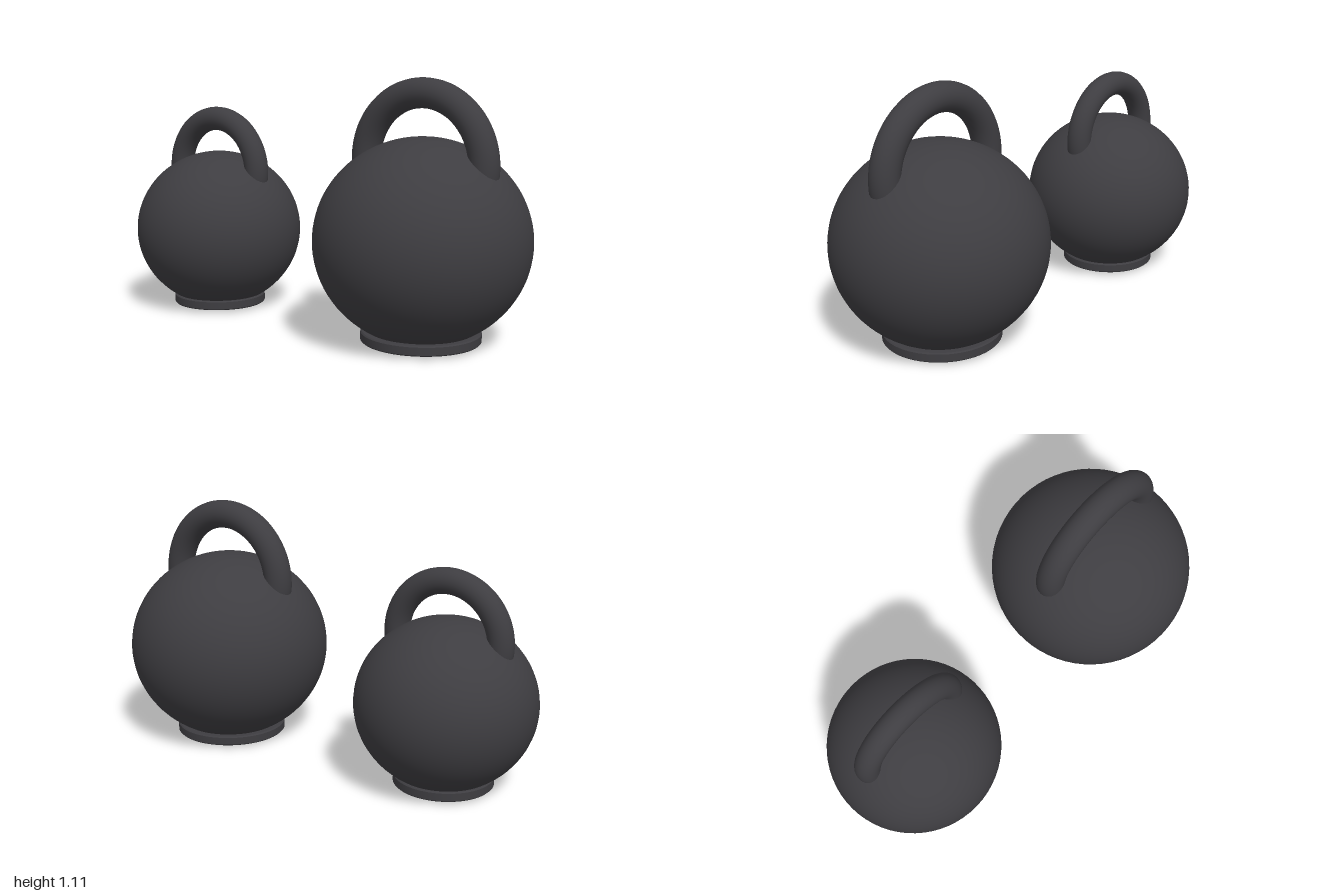
import * as THREE from 'three';
import { toCreasedNormals } from 'three/addons/utils/BufferGeometryUtils.js';

const castIron = new THREE.MeshStandardMaterial({ color: 0x3e3d41 });
castIron.name = 'castIron';

function addPart(group, name, geometry) {
  const mesh = new THREE.Mesh(geometry, castIron);
  mesh.name = name;
  group.add(mesh);
  return mesh;
}

// One weight: slightly squashed ball, ring handle and a flat foot
function createWeight({ name, x, ballRadius, handleRadius, gripRadius, handleY, footRadius }) {
  const weight = new THREE.Group();
  weight.name = name;
  weight.position.x = x;

  const squash = 0.95;
  const ball = new THREE.SphereGeometry(ballRadius, 64, 48);
  ball.scale(1, squash, 1);
  addPart(weight, 'ball', ball).position.y = ballRadius * squash;

  // Arc runs past a half circle so both ends sink into the ball
  const dip = 0.5;
  const ring = new THREE.TorusGeometry(handleRadius, gripRadius, 24, 72, Math.PI + 2 * dip);
  ring.rotateZ(-dip);
  addPart(weight, 'handle', ring).position.y = handleY;

  // Disc with softened rims; the ball just pokes through its underside
  const low = 0.012, high = 0.055, bevel = 0.005;
  const profile = [
    [0, low], [footRadius - bevel, low], [footRadius, low + bevel],
    [footRadius, high - bevel], [footRadius - bevel, high], [0, high],
  ].map(([r, y]) => new THREE.Vector2(r, y));
  addPart(weight, 'foot', toCreasedNormals(new THREE.LatheGeometry(profile, 64), 0.5));

  return weight;
}

export function createModel() {
  const model = new THREE.Group();
  model.name = 'kettlebellPair';
  model.add(
    createWeight({
      name: 'smallKettlebell', x: -0.613, ballRadius: 0.387,
      handleRadius: 0.24, gripRadius: 0.055, handleY: 0.65, footRadius: 0.215,
    }),
    createWeight({
      name: 'largeKettlebell', x: 0.543, ballRadius: 0.457,
      handleRadius: 0.287, gripRadius: 0.063, handleY: 0.76, footRadius: 0.254,
    }),
  );
  return model;
}
